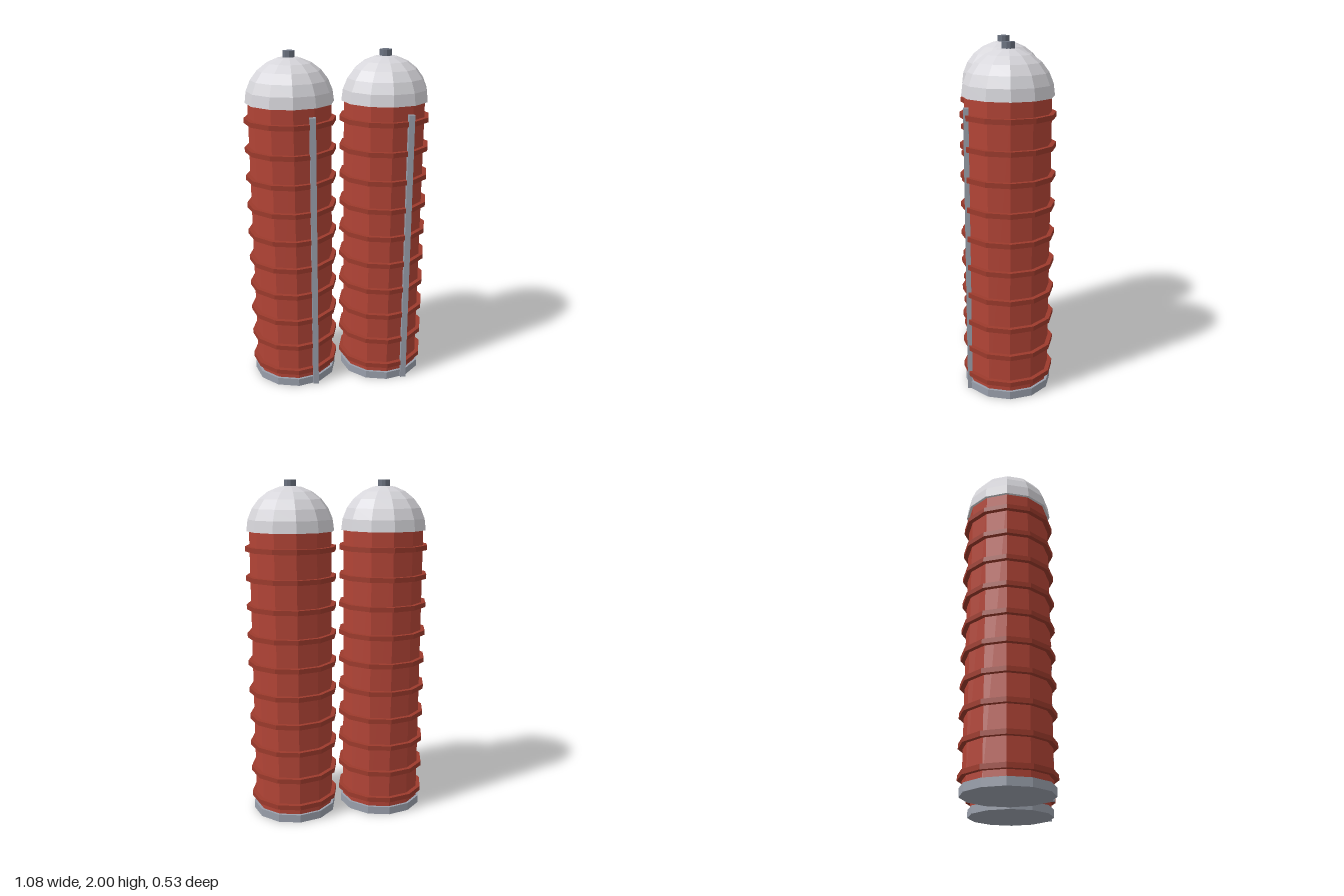
import * as THREE from 'three';

const mat = (name, color) => {
  const m = new THREE.MeshStandardMaterial({ color, flatShading: true });
  m.name = name;
  return m;
};

export function createModel() {
  const red = mat('barn red', 0xb24436);
  const darkRed = mat('band red', 0x9c3a2c);
  const pale = mat('pale dome grey', 0xd6d5da);
  const steel = mat('steel grey', 0x9aa0ac);
  const dark = mat('dark vent grey', 0x6b7280);
  const SIDES = 12;

  const add = (parent, name, geometry, material, x, y, z) => {
    const mesh = new THREE.Mesh(geometry, material);
    mesh.name = name;
    mesh.position.set(x, y, z);
    parent.add(mesh);
  };
  // Upright prism from y0 to y1
  const drum = (parent, name, r, y0, y1, material, sides = SIDES) =>
    add(parent, name, new THREE.CylinderGeometry(r, r, y1 - y0, sides), material, 0, (y0 + y1) / 2, 0);

  const createSilo = (name, x) => {
    const silo = new THREE.Group();
    silo.name = name;
    silo.position.x = x;

    drum(silo, 'base', 0.254, 0, 0.047, steel);
    drum(silo, 'body', 0.239, 0.01, 1.72, red);

    // Reinforcing hoops up the wall
    for (let i = 0; i < 10; i++) {
      const y = 0.099 + i * 0.1685;
      drum(silo, 'hoop', 0.265, y - 0.014, y + 0.014, darkRed);
    }

    // Domed roof with a closed underside
    add(silo, 'dome', new THREE.SphereGeometry(0.254, SIDES, 6, 0, Math.PI * 2, 0, Math.PI / 2), pale, 0, 1.715, 0);
    const eave = new THREE.CircleGeometry(0.254, SIDES).rotateX(Math.PI / 2);
    add(silo, 'domeUnderside', eave, pale, 0, 1.715, 0);
    drum(silo, 'roofVent', 0.035, 1.95, 2, dark, 10);

    // Vertical chute strip on the front
    add(silo, 'chute', new THREE.BoxGeometry(0.034, 1.667, 0.028), steel, 0.106, 0.8335, 0.229);
    return silo;
  };

  const model = new THREE.Group();
  model.name = 'twinSilos';
  model.add(createSilo('rightSilo', -0.275), createSilo('leftSilo', 0.275));
  return model;
}
